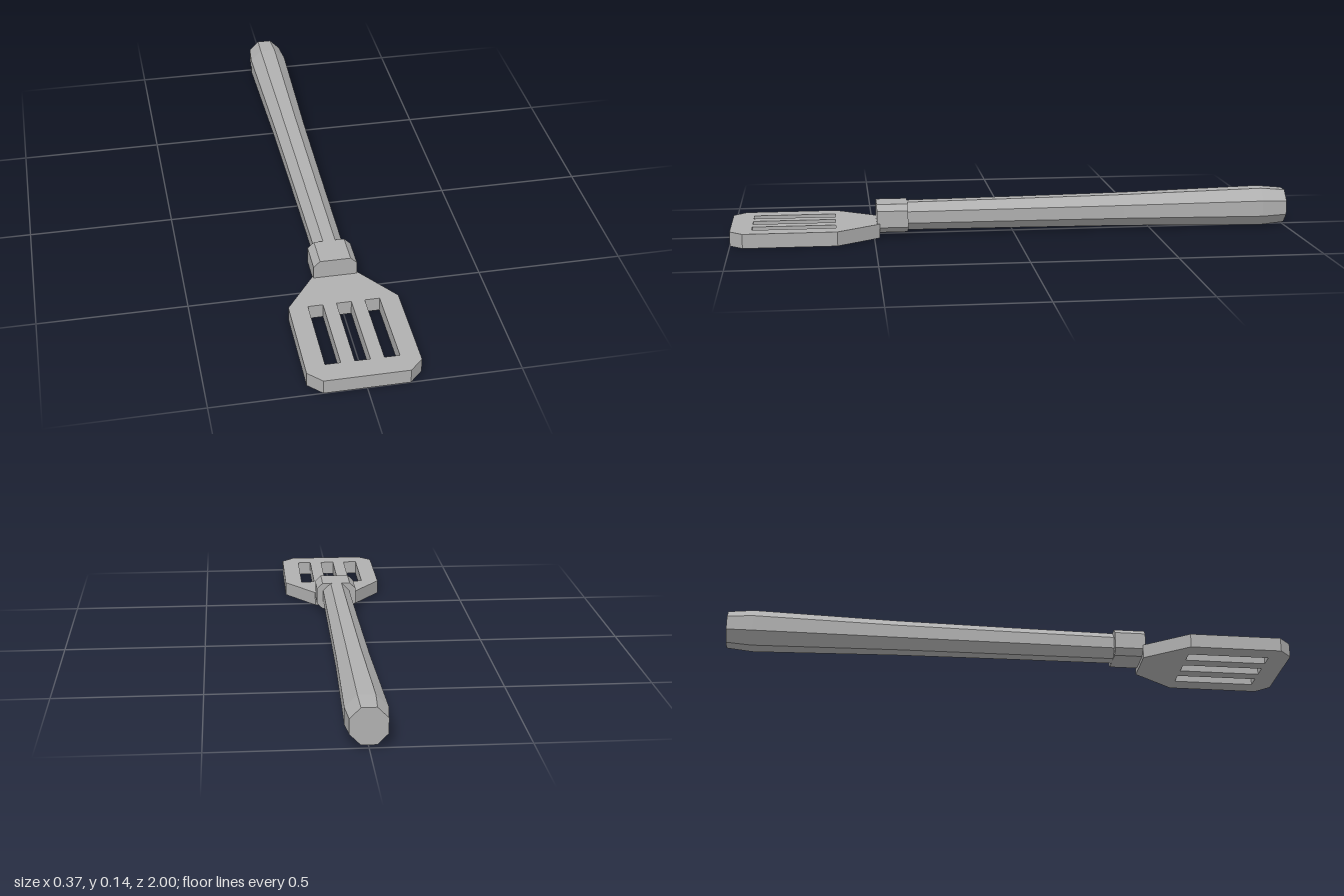
import * as THREE from 'three';

// Extrudes an outline given in (x, y) by depth along z
function polygon(points) {
  return points.map(([x, y]) => new THREE.Vector2(x, y));
}

// Gives every facet its own flat normal
function faceted(geometry) {
  const g = geometry.toNonIndexed();
  g.computeVertexNormals();
  return g;
}

export function createModel() {
  const group = new THREE.Group();
  const grey = new THREE.MeshStandardMaterial({ color: 0xb0b0b0 });
  grey.name = 'grey';

  const add = (name, geometry) => {
    const mesh = new THREE.Mesh(geometry, grey);
    mesh.name = name;
    group.add(mesh);
  };

  // Slotted blade lying flat, outline in x and z
  const half = [[0.075, 0.48], [0.184, 0.63], [0.184, 0.955], [0.139, 1]];
  const mirrored = half.map(([x, z]) => [-x, z]).reverse();
  const outline = new THREE.Shape(polygon([...half, ...mirrored]));
  for (const x of [-0.095, 0, 0.095]) {
    const w = 0.025;
    outline.holes.push(new THREE.Path(polygon([
      [x - w, 0.635], [x - w, 0.925], [x + w, 0.925], [x + w, 0.635],
    ])));
  }
  const blade = new THREE.ExtrudeGeometry(outline, { depth: 0.05, bevelEnabled: false });
  blade.rotateX(Math.PI / 2).translate(0, 0.05, 0);
  add('blade', blade);

  // Chamfered collar joining blade and handle
  const collarOutline = new THREE.Shape(polygon([
    [-0.052, 0.015], [0.052, 0.015], [0.074, 0.036], [0.074, 0.095],
    [0.052, 0.116], [-0.052, 0.116], [-0.074, 0.095], [-0.074, 0.036],
  ]));
  const collar = new THREE.ExtrudeGeometry(collarOutline, { depth: 0.11, bevelEnabled: false });
  collar.translate(0, 0, 0.38);
  add('collar', collar);

  // Octagonal handle: [distance from axis to flat, z], swelling to the end
  const sections = [[0, -1], [0.06, -1], [0.068, -0.91], [0.057, -0.4], [0.053, 0], [0.05, 0.39], [0, 0.39]];
  const profile = sections.map(([r, z]) => new THREE.Vector2(r / Math.cos(Math.PI / 8), z));
  const handle = new THREE.LatheGeometry(profile, 8, Math.PI / 8);
  handle.rotateX(Math.PI / 2);
  // The axis rises slightly towards the end
  const p = handle.attributes.position;
  for (let i = 0; i < p.count; i++) {
    p.setY(i, p.getY(i) + 0.067 - 0.003 * p.getZ(i));
  }
  add('handle', faceted(handle));

  return group;
}
